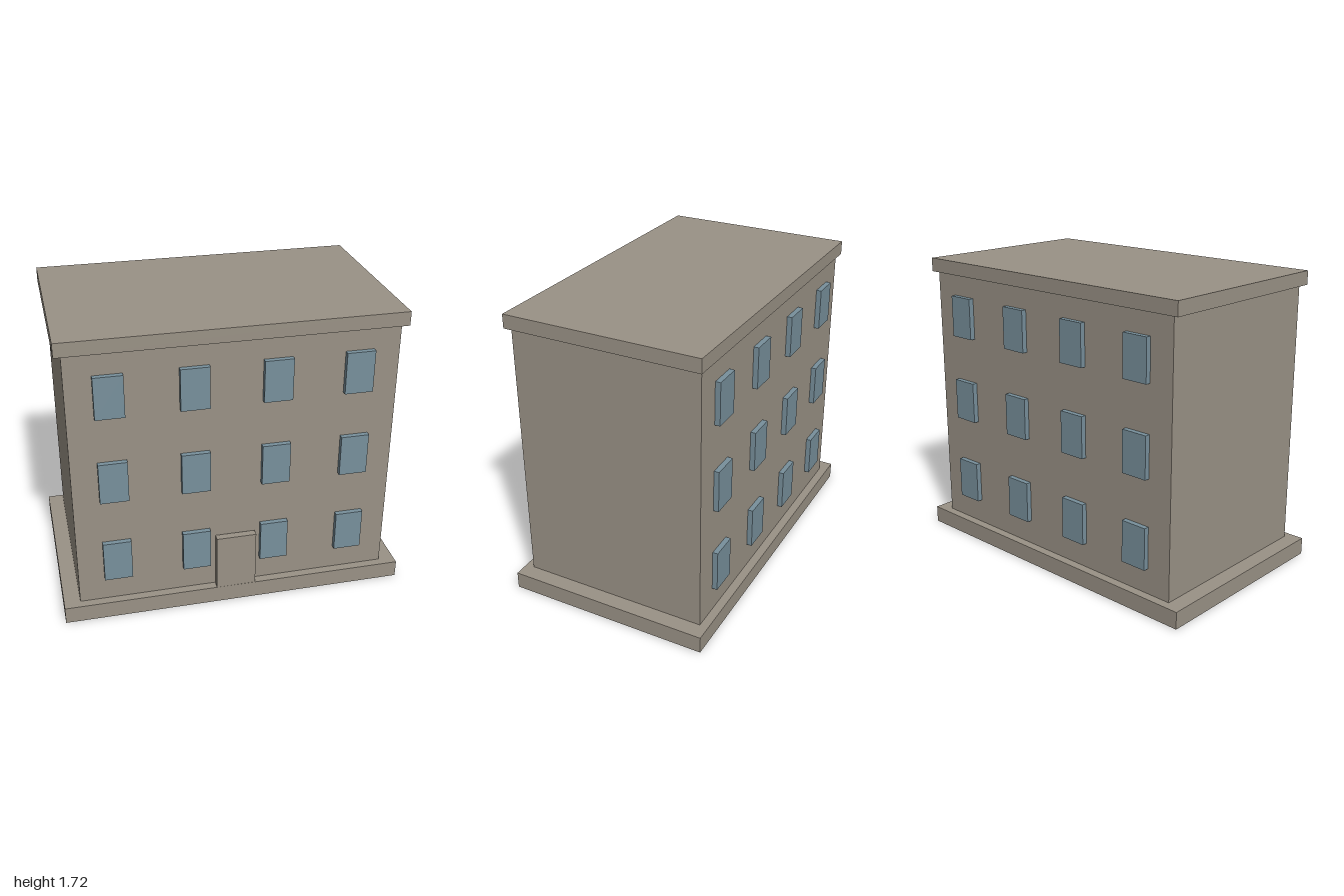
import * as THREE from 'three';

export function createModel() {
  const stone = new THREE.MeshStandardMaterial({ name: 'warm grey stone', color: 0x9a9286 });
  const glass = new THREE.MeshStandardMaterial({ name: 'blue grey glass', color: 0x78909c });

  const building = new THREE.Group();
  building.name = 'building';

  // Box centred on x and z, standing on the given base height
  function addBox(name, material, [w, h, d], [x, base, z], parent = building) {
    const mesh = new THREE.Mesh(new THREE.BoxGeometry(w, h, d), material);
    mesh.name = name;
    mesh.position.set(x, base + h / 2, z);
    parent.add(mesh);
  }

  // Main masses
  addBox('plinth', stone, [2, 0.1, 1.2], [0, 0, 0]);
  addBox('walls', stone, [1.814, 1.54, 1.1], [0, 0.1, 0]);
  addBox('roofSlab', stone, [1.89, 0.08, 1.14], [0, 1.64, 0]);

  // Door slab, standing just clear of the front wall
  addBox('door', stone, [0.23, 0.34, 0.042], [0, 0.1, 0.578]);

  // Three rows of four windows on the front and the back
  for (const side of [1, -1]) {
    const windows = new THREE.Group();
    windows.name = side > 0 ? 'frontWindows' : 'backWindows';
    building.add(windows);
    for (let row = 0; row < 3; row++) {
      for (let col = 0; col < 4; col++) {
        addBox('window', glass, [0.16, 0.243, 0.03],
          [(col - 1.5) * 0.4535, 0.247 + row * 0.513, side * 0.565], windows);
      }
    }
  }

  return building;
}
